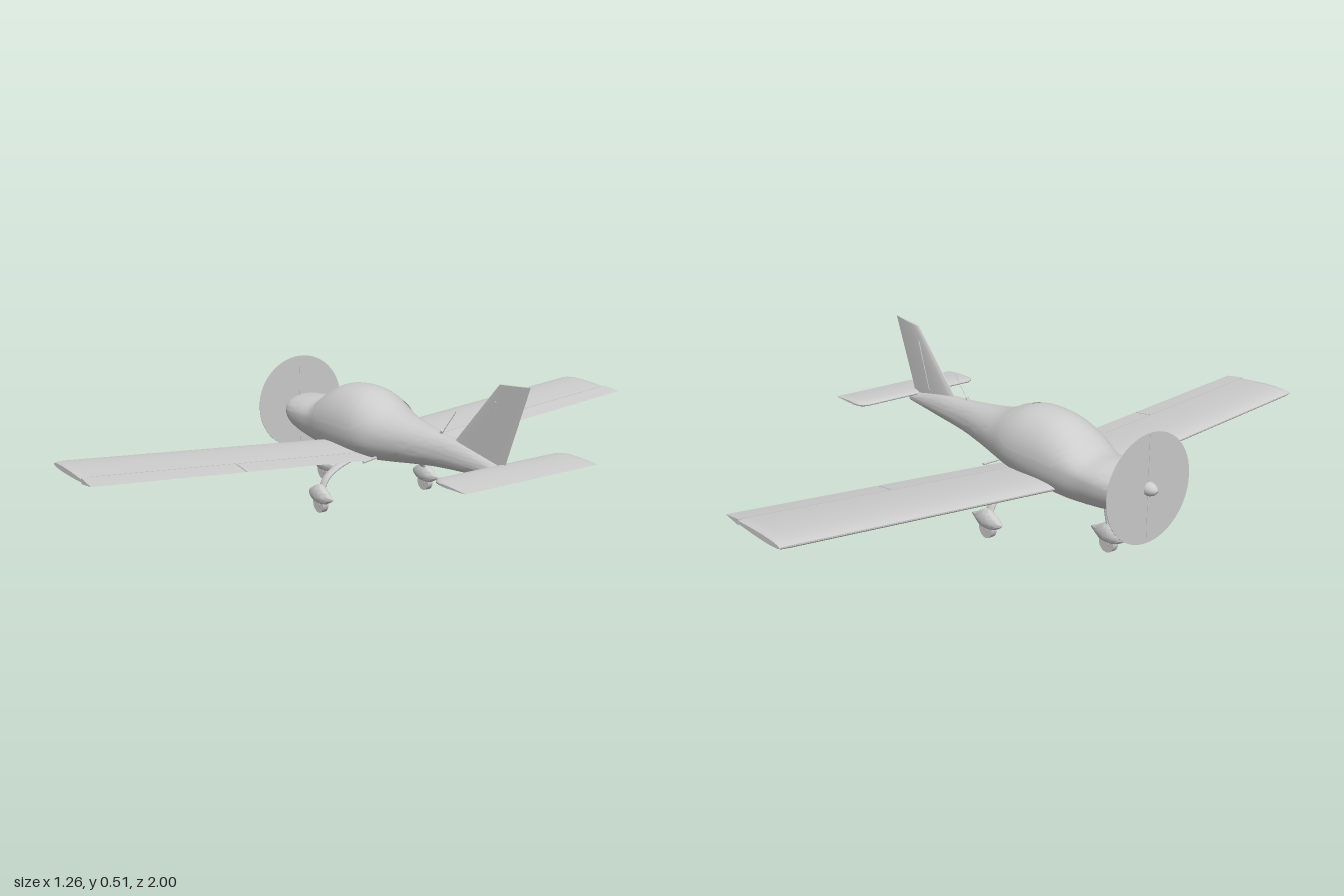
import * as THREE from 'three';
import { toCreasedNormals } from 'three/addons/utils/BufferGeometryUtils.js';

const paint = new THREE.MeshStandardMaterial({ color: 0xcccccc, side: THREE.DoubleSide });
paint.name = 'light grey paint';

// Skin a list of rings of points; closed rings get end caps
function loft(rings, closed = true) {
  const n = rings[0].length, pos = rings.flat(2), idx = [];
  for (let i = 0; i < rings.length - 1; i++) {
    for (let j = 0; j < (closed ? n : n - 1); j++) {
      const k = (j + 1) % n, a = i * n + j, b = i * n + k;
      idx.push(a, b, a + n, b, b + n, a + n);
    }
  }
  if (closed) {
    for (const i of [0, rings.length - 1]) {
      const c = pos.length / 3;
      for (let d = 0; d < 3; d++) pos.push(rings[i].reduce((s, p) => s + p[d], 0) / n);
      for (let j = 0; j < n; j++) {
        const a = i * n + j, b = i * n + (j + 1) % n;
        if (i) idx.push(c, a, b); else idx.push(c, b, a);
      }
    }
  }
  const g = new THREE.BufferGeometry();
  g.setAttribute('position', new THREE.Float32BufferAttribute(pos, 3));
  g.setIndex(idx);
  return toCreasedNormals(g, 0.7);
}

// Egg-shaped body: stations are [x, top, bottom, half width, height of widest point]
function body(stations) {
  const curve = pick => new THREE.CatmullRomCurve3(stations.map(s => new THREE.Vector3(...pick(s))), false, 'catmullrom');
  const heights = curve(s => [s[0], s[1], s[2]]), widths = curve(s => [s[0], s[3], s[4]]);
  return (t, angle, lift = 0) => {
    const { x, y: top, z: bottom } = heights.getPoint(t), { y: half, z: mid } = widths.getPoint(t);
    const c = Math.cos(angle), s = Math.sin(angle);
    const h = c > 0 ? (top - mid + lift) * c : -(mid - bottom + lift) * Math.pow(-c, 0.85);
    return [x, mid + h, (half + lift) * s];
  };
}
function bodyGeometry(section, steps, sides) {
  const rings = [];
  for (let i = 0; i <= steps; i++) {
    const ring = [];
    for (let j = 0; j < sides; j++) ring.push(section(i / steps, j / sides * Math.PI * 2));
    rings.push(ring);
  }
  return loft(rings);
}

// Symmetric aerofoil loop, limited to the chord fractions u0..u1; gives [x, half thickness]
function foil(x0, x1, thick, u0 = 0, u1 = 1, n = 32) {
  const out = [], chord = x1 - x0;
  for (let k = 0; k < n; k++) {
    const th = (k + 0.5) * Math.PI * 2 / n, u = u0 + (u1 - u0) * (1 + Math.cos(th)) / 2;
    const y = 5 * thick * (0.2969 * Math.sqrt(u) - 0.126 * u - 0.3516 * u * u + 0.2843 * u ** 3 - 0.1036 * u ** 4);
    out.push([x0 + chord * u, Math.sign(Math.sin(th)) * y * chord]);
  }
  return out;
}

export function createModel() {
  const model = new THREE.Group();
  model.name = 'lightAircraft';
  const add = (name, geometry, parent = model) => {
    const m = new THREE.Mesh(geometry, paint);
    m.name = name;
    parent.add(m);
    return m;
  };
  const rod = (name, from, to, r) => {
    const a = new THREE.Vector3(...from), b = new THREE.Vector3(...to);
    const m = add(name, new THREE.CylinderGeometry(r, r, a.distanceTo(b), 12));
    m.position.copy(a).lerp(b, 0.5);
    m.quaternion.setFromUnitVectors(new THREE.Vector3(0, 1, 0), b.sub(a).normalize());
  };

  // Fuselage with the cabin hump
  const hull = body([
    [-0.592, 0.263, 0.212, 0.045, 0.238], [-0.582, 0.276, 0.183, 0.071, 0.236], [-0.55, 0.286, 0.162, 0.086, 0.235],
    [-0.48, 0.293, 0.146, 0.093, 0.235], [-0.405, 0.299, 0.137, 0.097, 0.238], [-0.335, 0.344, 0.133, 0.108, 0.245],
    [-0.265, 0.372, 0.135, 0.115, 0.25], [-0.19, 0.381, 0.14, 0.118, 0.252], [-0.13, 0.377, 0.148, 0.117, 0.253],
    [-0.075, 0.361, 0.156, 0.11, 0.252], [0, 0.334, 0.167, 0.09, 0.25], [0.09, 0.319, 0.182, 0.068, 0.25],
    [0.21, 0.306, 0.2, 0.046, 0.25], [0.35, 0.294, 0.214, 0.033, 0.25], [0.523, 0.259, 0.231, 0.016, 0.246]]);
  add('fuselage', bodyGeometry(hull, 84, 48));

  // Canopy glazing and rear frame, lying just above the hull
  const shell = (name, t0, t1, lift, limit) => {
    const rings = [];
    for (let i = 0; i <= 24; i++) {
      const ring = [], reach = limit(i / 24);
      for (let j = 0; j <= 28; j++) ring.push(hull(t0 + (t1 - t0) * i / 24, (j / 14 - 1) * reach, lift));
      rings.push(ring);
    }
    add(name, loft(rings, false));
  };
  shell('canopy', 4 / 14, 8.2 / 14, 0.002, v => 1.52 * Math.min(1, Math.sqrt(v / 0.3) + 0.02));
  shell('canopyFrame', 8.3 / 14, 9.1 / 14, 0.0025, v => 1.52 - 0.25 * v);

  // Wing with dihedral, plus flaps and ailerons behind a narrow gap
  const wingRing = (z, thick, u0, u1) =>
    foil(-0.315, -0.035, thick, u0, u1).map(([x, y]) => [x, 0.17 + 0.085 * Math.abs(z) + y, z]);
  add('wing', loft([[-1, 0.06], [-0.992, 0.1], [-0.97, 0.12], [0, 0.12], [0.97, 0.12], [0.992, 0.1], [1, 0.06]]
    .map(([z, t]) => wingRing(z, t, 0, 0.747))));
  for (const side of [1, -1]) {
    for (const [name, z0, z1] of [['flap', 0.06, 0.523], ['aileron', 0.526, 1]]) {
      const ends = [z0 * side, z1 * side].sort((a, b) => a - b);
      add(name, loft(ends.map(z => wingRing(z, 0.12, 0.753, 1))));
    }
    // Boarding step behind the wing root
    rod('boardingStep', [-0.03, 0.185, 0.07 * side], [-0.02, 0.18, 0.125 * side], 0.004);
  }

  // Tailplane with rounded front corners
  const tailRings = [];
  for (const [z, cut, t] of [[0.24, 0.035, 0.06], [0.236, 0.018, 0.09], [0.227, 0.007, 0.12], [0.21, 0, 0.13], [0, 0, 0.13]]) {
    for (const s of z ? [-1, 1] : [1]) {
      tailRings.push(foil(0.48 + cut, 0.63, t).map(([x, y]) => [x, 0.266 + y, s * z]));
    }
  }
  add('tailplane', loft(tailRings.sort((a, b) => a[0][2] - b[0][2])));

  // Swept fin and rudder, with a strip along the hinge
  add('fin', loft([[0.25, 0.507, 0.262, 0], [0.285, 0.52, 0.3, 0], [0.478, 0.606, 0.502, 0.013]].map(([x0, x1, y, rise]) =>
    foil(x0, x1, 0.075).map(([x, z]) => [x, y + rise * (x - x0) / (x1 - x0), -z]))));
  const hinge = add('rudderHinge', new THREE.BoxGeometry(0.005, 0.168, 0.018));
  hinge.position.set(0.444, 0.372, 0);
  hinge.rotation.z = -0.327;

  // Propeller disc, blades and spinner
  const prop = new THREE.Group();
  prop.name = 'propeller';
  prop.position.set(-0.602, 0.245, 0);
  model.add(prop);
  add('propellerDisc', new THREE.CylinderGeometry(0.165, 0.165, 0.002, 64), prop).rotation.z = Math.PI / 2;
  add('propellerBlades', new THREE.BoxGeometry(0.004, 0.325, 0.008), prop);
  const nose = [[0, -0.014], [0.021, -0.014], [0.021, -0.002], [0.02, 0.01], [0.015, 0.022], [0.008, 0.03], [0, 0.033]];
  add('spinner', new THREE.LatheGeometry(nose.map(p => new THREE.Vector2(...p)), 24), prop).rotation.z = Math.PI / 2;

  // Wheels in teardrop fairings
  const spat = bodyGeometry(body([
    [-0.066, 0.06, 0.053, 0.003, 0.056], [-0.05, 0.071, 0.042, 0.012, 0.055], [-0.025, 0.085, 0.032, 0.019, 0.055],
    [0, 0.093, 0.03, 0.021, 0.055], [0.025, 0.083, 0.031, 0.018, 0.055], [0.05, 0.069, 0.042, 0.01, 0.055],
    [0.073, 0.06, 0.054, 0.002, 0.057]]), 24, 24);
  for (const [label, x, z] of [['nose', -0.45, 0], ['left', -0.143, 0.207], ['right', -0.143, -0.207]]) {
    const gear = new THREE.Group();
    gear.name = label + 'Wheel';
    gear.position.set(x, 0, z);
    model.add(gear);
    add('wheelFairing', spat, gear);
    for (const [part, r, width] of [['tyre', 0.03, 0.02], ['hub', 0.012, 0.024]]) {
      const wheel = add(part, new THREE.CylinderGeometry(r, r, width, 28), gear);
      wheel.rotation.x = Math.PI / 2;
      wheel.position.y = 0.03;
    }
  }
  rod('noseStrut', [-0.453, 0.075, 0], [-0.433, 0.16, 0], 0.009);

  // Arched main legs of flat section
  for (const side of [1, -1]) {
    const arch = new THREE.CatmullRomCurve3([[0.06, 0.165], [0.115, 0.149], [0.155, 0.132], [0.185, 0.108], [0.203, 0.075]]
      .map(([z, y]) => new THREE.Vector3(0, y, z * side)));
    const leg = add('mainLeg', new THREE.TubeGeometry(arch, 20, 0.007, 12));
    leg.scale.x = 2.3;
    leg.position.x = -0.143;
  }

  // Whip antenna on the rear deck
  rod('antenna', [0.217, 0.305, 0], [0.283, 0.384, 0], 0.001);
  rod('antennaBase', [0.21, 0.3, 0], [0.219, 0.314, 0], 0.005);
  return model;
}
